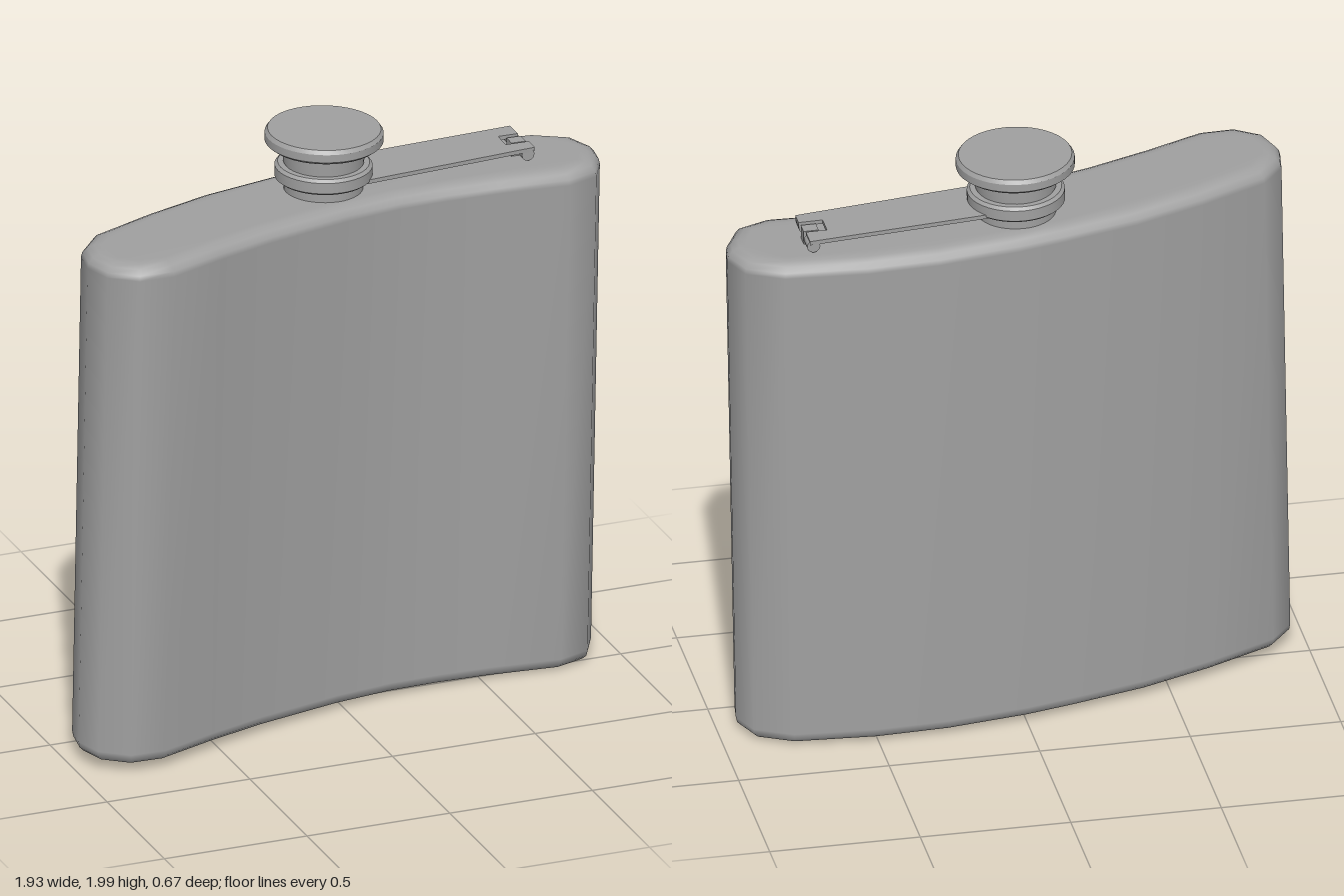
import * as THREE from 'three';
import { toCreasedNormals } from 'three/addons/utils/BufferGeometryUtils.js';

// Curved footprint as [x, z], counter-clockwise seen from above
const OUTLINE = [
  [-0.71, 0.325], [-0.51, 0.245], [-0.31, 0.175], [-0.01, 0.095], [0.19, 0.06], [0.36, 0.05],
  [0.54, 0.05], [0.78, 0.065], [0.89, 0.025], [0.94, -0.07], [0.95, -0.14], [0.91, -0.24],
  [0.79, -0.305], [0.52, -0.333], [0.28, -0.33], [0.01, -0.298], [-0.15, -0.265], [-0.4, -0.205],
  [-0.63, -0.122], [-0.86, -0.02], [-0.935, 0.07], [-0.95, 0.165], [-0.92, 0.26], [-0.83, 0.325],
];

// Moves every corner of the footprint inward by d along its mitre
function inset(d) {
  const n = OUTLINE.length;
  return OUTLINE.map(([x, z], i) => {
    const p = new THREE.Vector2(x, -z);
    const at = (k) => new THREE.Vector2(OUTLINE[(k + n) % n][0], -OUTLINE[(k + n) % n][1]);
    const e1 = p.clone().sub(at(i - 1)).normalize();
    const e2 = at(i + 1).sub(p).normalize();
    const n1 = new THREE.Vector2(-e1.y, e1.x);
    const n2 = new THREE.Vector2(-e2.y, e2.x);
    return p.addScaledVector(n1.clone().add(n2), d / (1 + n1.dot(n2)));
  });
}

// Lofts the footprint through [inset, y] rings and closes both ends
function bodyGeometry() {
  const rings = [
    [0.065, 0.018], [0.04, 0.019], [0.018, 0.026], [0.004, 0.04], [0, 0.06],
    [0, 1.74], [0.004, 1.757], [0.018, 1.774], [0.04, 1.784], [0.065, 1.786],
  ];
  const n = OUTLINE.length;
  const positions = [];
  const index = [];
  rings.forEach(([d, y], r) => {
    inset(d).forEach((p, i) => {
      positions.push(p.x, y, -p.y);
      if (r === rings.length - 1) return;
      const a = r * n + i;
      const b = r * n + (i + 1) % n;
      index.push(a, b, b + n, a, b + n, a + n);
    });
  });
  const top = (rings.length - 1) * n;
  for (const [a, b, c] of THREE.ShapeUtils.triangulateShape(inset(0.065), [])) {
    index.push(top + a, top + b, top + c, c, b, a);
  }
  const geometry = new THREE.BufferGeometry();
  geometry.setAttribute('position', new THREE.Float32BufferAttribute(positions, 3));
  geometry.setIndex(index);
  geometry.computeVertexNormals();
  return geometry;
}

export function createModel() {
  const model = new THREE.Group();
  model.name = 'hipFlask';
  const steel = new THREE.MeshStandardMaterial({ color: 0xa0a0a0 });
  steel.name = 'brushed steel';

  // Everything leans slightly around the middle of the body
  const lean = new THREE.Group();
  lean.name = 'flask';
  lean.position.y = 0.9;
  lean.rotation.set(0.006, 0, -0.016);
  const flask = new THREE.Group();
  flask.name = 'flaskParts';
  flask.position.y = -0.9;
  lean.add(flask);
  model.add(lean);

  const add = (name, geometry, x = 0, y = 0, z = 0) => {
    const mesh = new THREE.Mesh(geometry, steel);
    mesh.name = name;
    mesh.position.set(x, y, z);
    flask.add(mesh);
    return mesh;
  };
  const lathe = (points) => toCreasedNormals(
    new THREE.LatheGeometry(points.map((p) => new THREE.Vector2(...p)), 40), 0.6);

  add('body', bodyGeometry());

  // Neck, hinge collar and screw cap share one axis
  const cx = -0.02;
  const cz = -0.097;
  add('neck', lathe([[0.13, 1.77], [0.13, 1.9]]), cx, 0, cz);
  add('hingeCollar', lathe([
    [0.125, 1.822], [0.15, 1.822], [0.16, 1.83], [0.16, 1.867], [0.15, 1.877], [0.125, 1.877],
  ]), cx, 0, cz);
  add('cap', lathe([
    [0, 1.88], [0.132, 1.88], [0.135, 1.935], [0.155, 1.942], [0.18, 1.944],
    [0.194, 1.955], [0.194, 1.982], [0.185, 1.995], [0, 1.995],
  ]), cx, 0, cz);

  // Retaining arm: a flat strap with a notch at its hinged end
  const strap = new THREE.Shape([
    [0.09, 0.2], [0.09, -0.01], [0.705, 0.058], [0.705, 0.11], [0.625, 0.11],
    [0.625, 0.18], [0.695, 0.18], [0.695, 0.248],
  ].map((p) => new THREE.Vector2(...p)));
  const strapGeometry = new THREE.ExtrudeGeometry(strap, { depth: 0.014, bevelEnabled: false });
  strapGeometry.rotateX(-Math.PI / 2);
  add('retainingArm', strapGeometry, 0, 1.823, 0);

  // Curled knuckles at the strap end, with a bracket and pin between them
  for (const [name, z] of [['frontKnuckle', -0.082], ['backKnuckle', -0.217]]) {
    const curl = new THREE.CylinderGeometry(0.022, 0.022, 0.052, 12).rotateX(Math.PI / 2);
    add(name, toCreasedNormals(curl, 0.7), 0.682, 1.815, z);
  }
  const pin = new THREE.CylinderGeometry(0.011, 0.011, 0.18, 10).rotateX(Math.PI / 2);
  add('hingePin', toCreasedNormals(pin, 0.7), 0.682, 1.815, -0.15);
  add('hingeBracket', new THREE.BoxGeometry(0.05, 0.05, 0.045), 0.675, 1.808, -0.145);

  return model;
}
